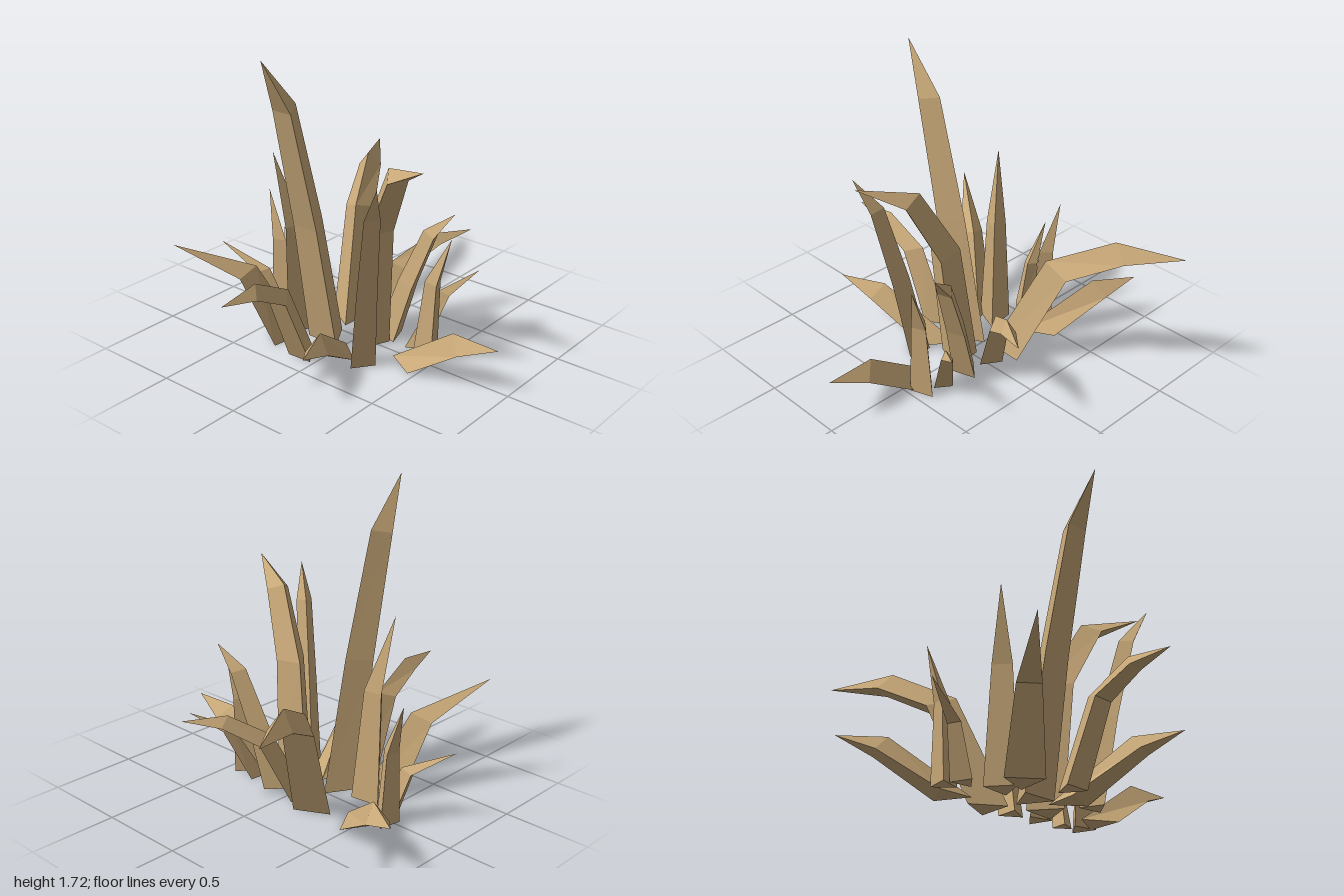
import * as THREE from 'three';

// Each blade: base x, z, heading in degrees (from +x towards +z), section radius,
// reach, height, arch (0 = upright, 1 = bowed over), optional hook (bends late).
const LONG_BLADES = [
  [-0.13, 0.105, 90, 0.115, 0.485, 1.72, 0],
  [0.075, 0, 23, 0.115, 0.56, 1.2, 0.5, 0.15],
  [0.2, 0.22, 37, 0.08, 0.314, 1.135, 0],
  [-0.2, -0.16, -118, 0.12, 0.94, 0.78, 1],
  [-0.035, -0.145, -58, 0.075, 0.617, 0.52, 0.8],
  [0.13, -0.13, -18, 0.08, 0.357, 0.8, 0],
  [-0.1, 0.35, 87, 0.085, 0.64, 0.56, 1],
];
const SHORT_BLADES = [
  [-0.345, 0.125, 142, 0.1, 0.12, 1.07, 0],
  [-0.34, 0.27, 127, 0.117, 0.578, 0.63, 0.35],
  [-0.59, -0.025, -170, 0.075, 0.122, 0.71, 0],
  [-0.54, 0.07, 158, 0.07, 0.355, 0.42, 0.2],
  [-0.47, -0.135, -149, 0.117, 0.572, 0.27, 1],
  [0.4, 0.045, 0, 0.118, 0.56, 0.27, 0.9],
  [0.035, 0.205, 67, 0.115, 0.616, 0.29, 1],
  [0.415, -0.088, -20, 0.08, 0.122, 0.71, 0.1],
  [0.31, -0.12, -55, 0.06, 0.366, 0.42, 0.6],
];

// Where blades bend, as fractions of reach and height
const longBends = (arch, hook) => [
  [0.29 - hook, 0.43 + 0.33 * arch],
  [0.64 - hook, 0.83 + 0.14 * arch],
];
const shortBends = (arch) => [[0.2 + 0.42 * arch, 0.6 + 0.23 * arch]];

// A closed three-sided spike: ridge facing the middle, flat face outward
function bladeGeometry([x, z, heading, radius, reach, height, arch, hook = 0], bends) {
  const turn = THREE.MathUtils.degToRad(heading);
  const dir = new THREE.Vector3(Math.cos(turn), 0, Math.sin(turn));
  const side = new THREE.Vector3(-dir.z, 0, dir.x);
  const at = (out, up, across = 0) =>
    new THREE.Vector3(x, up, z).addScaledVector(dir, out).addScaledVector(side, across);

  const path = [[0, 0], ...bends(arch, hook).map(([r, y]) => [r * reach, y * height])];
  const rings = path.map(([r, y], i) => {
    // sections lean with the stretch of blade below them
    const tilt = i ? 0.92 * Math.atan2(r - path[i - 1][0], y - path[i - 1][1]) : 0;
    const size = radius * (1 - (0.37 * i) / (path.length - 1));
    return [0, 1, 2].map((k) => {
      const angle = Math.PI + (k * Math.PI * 2) / 3;
      const a = size * Math.cos(angle);
      return at(r + a * Math.cos(tilt), y - a * Math.sin(tilt), size * Math.sin(angle));
    });
  });
  const tip = at(reach, height);

  const points = [...rings[0]]; // underside
  rings.forEach((ring, i) => {
    const next = rings[i + 1];
    for (let k = 0; k < 3; k++) {
      const n = (k + 1) % 3;
      if (next) points.push(ring[k], next[k], ring[n], ring[n], next[k], next[n]);
      else points.push(ring[k], tip, ring[n]);
    }
  });
  const geometry = new THREE.BufferGeometry().setFromPoints(points);
  geometry.computeVertexNormals();
  return geometry;
}

export function createModel() {
  const group = new THREE.Group();
  group.name = 'spikyPlant';
  const material = new THREE.MeshStandardMaterial({ color: 0xc8a878, flatShading: true });
  const addBlades = (blades, bends, name) =>
    blades.forEach((blade, i) => {
      const mesh = new THREE.Mesh(bladeGeometry(blade, bends), material);
      mesh.name = `${name}${i + 1}`;
      group.add(mesh);
    });
  addBlades(LONG_BLADES, longBends, 'longBlade');
  addBlades(SHORT_BLADES, shortBends, 'shortBlade');
  return group;
}
